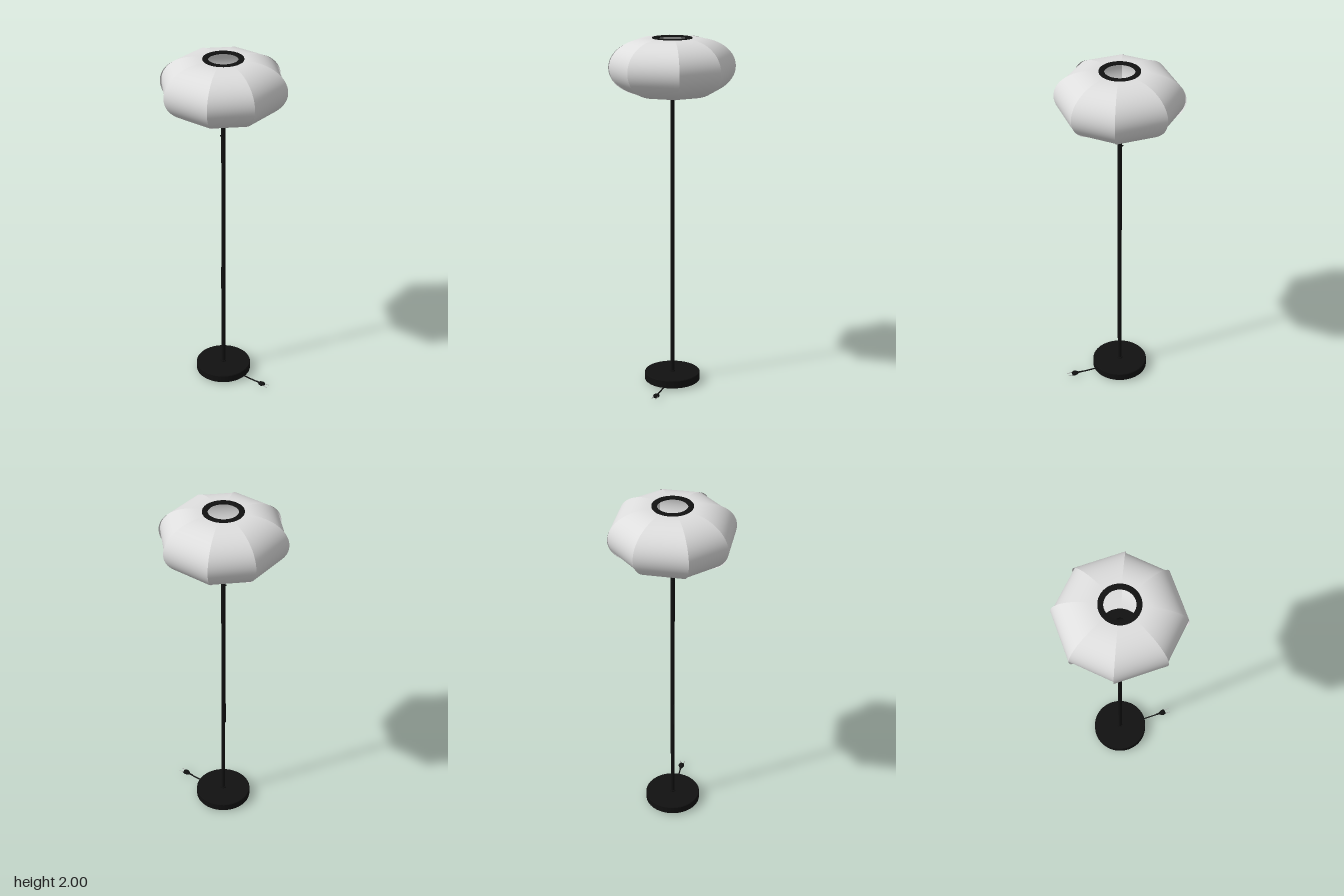
import * as THREE from 'three';

const CX = -0.006; // lamp axis; the plug sticks out on +x
const SHADE_Y = 1.838, HALF_H = 0.158, INNER = 0.1, FLAT = 0.122, OUTER = 0.321;

// One curved shade panel facing +z; slope is half-width per unit of radius
function panelGeometry(slope) {
  const profile = [[INNER, SHADE_Y + HALF_H]];
  const steps = 28;
  for (let i = 0; i <= steps; i++) {
    const a = Math.PI / 2 - (Math.PI * i) / steps;
    profile.push([FLAT + (OUTER - FLAT) * Math.cos(a), SHADE_Y + HALF_H * Math.sin(a)]);
  }
  profile.push([INNER, SHADE_Y - HALF_H]);
  const pos = [], index = [];
  profile.forEach(([r, y], i) => {
    pos.push(-slope * r, y, r, slope * r, y, r);
    if (i) {
      const a = 2 * i - 2;
      index.push(a, a + 2, a + 1, a + 1, a + 2, a + 3);
    }
  });
  const g = new THREE.BufferGeometry();
  g.setAttribute('position', new THREE.Float32BufferAttribute(pos, 3));
  g.setIndex(index);
  g.computeVertexNormals();
  return g;
}

export function createModel() {
  const model = new THREE.Group();
  model.name = 'floorLamp';
  const black = new THREE.MeshStandardMaterial({ color: 0x111111 });
  black.name = 'black';
  const fabric = new THREE.MeshStandardMaterial({ color: 0xdedede, side: THREE.DoubleSide });
  fabric.name = 'white fabric';
  const metal = new THREE.MeshStandardMaterial({ color: 0xb0b0b0 });
  metal.name = 'plug metal';

  const lamp = new THREE.Group();
  lamp.name = 'lamp';
  lamp.position.x = CX;
  model.add(lamp);

  const add = (parent, name, geometry, material, x = 0, y = 0, z = 0) => {
    const m = new THREE.Mesh(geometry, material);
    m.name = name;
    m.position.set(x, y, z);
    parent.add(m);
    return m;
  };
  const rod = (r, h, n = 32) => new THREE.CylinderGeometry(r, r, h, n);
  const lathe = (pts) => new THREE.LatheGeometry(pts.map((p) => new THREE.Vector2(...p)), 64);

  // Round weighted base with softened edges, on small feet
  add(lamp, 'base', rod(0.16, 0.04, 64), black, 0, 0.031);
  add(lamp, 'baseTop', new THREE.CylinderGeometry(0.157, 0.16, 0.004, 64), black, 0, 0.053);
  add(lamp, 'baseUnderside', new THREE.CylinderGeometry(0.16, 0.156, 0.004, 64), black, 0, 0.009);
  for (let i = 0; i < 4; i++) {
    const a = Math.PI / 4 + (i * Math.PI) / 2;
    add(lamp, 'foot', rod(0.014, 0.008, 20), black, 0.125 * Math.cos(a), 0.004, 0.125 * Math.sin(a));
  }
  add(lamp, 'baseNut', rod(0.012, 0.004, 6), metal, 0, 0.006);

  // Pole with its collar, switch and cord guide
  add(lamp, 'pole', rod(0.0115, 1.63), black, 0, 0.865);
  add(lamp, 'collar', rod(0.017, 0.008), black, 0, 0.058);
  add(lamp, 'switch', rod(0.004, 0.012, 12), black, -0.014, 1.545, 0).rotation.z = Math.PI / 2;
  add(lamp, 'cordGuide', rod(0.004, 0.14, 12), black, -0.0075, 0.64, 0.0075);

  // Eight shade panels; the four on the axes overlap their neighbours
  const wide = panelGeometry(0.453), narrow = panelGeometry(Math.tan(Math.PI / 8));
  const shade = new THREE.Group();
  shade.name = 'shade';
  lamp.add(shade);
  for (let i = 0; i < 8; i++) {
    add(shade, 'shadePanel', i % 2 ? narrow : wide, fabric).rotation.y = (i * Math.PI) / 4;
  }

  // Open ring above, closed disc below, and bulb socket
  const t = 2;
  add(lamp, 'topRing', lathe([[0.082, t - 0.008], [0.111, t - 0.008], [0.111, t], [0.082, t], [0.082, t - 0.008]]), black);
  add(lamp, 'bottomDisc', rod(0.111, 0.008, 64), black, 0, 1.679);
  add(lamp, 'socket', lathe([[0.034, 1.683], [0.034, 1.7], [0.024, 1.71], [0.024, 1.77], [0.019, 1.77], [0.019, 1.72], [0, 1.72]]), black);
  add(lamp, 'socketContact', new THREE.BoxGeometry(0.02, 0.003, 0.008), metal, 0, 1.722);

  // Power cord and plug
  const cord = new THREE.CatmullRomCurve3([
    new THREE.Vector3(0.14, 0.013, 0), new THREE.Vector3(0.19, 0.011, 0), new THREE.Vector3(0.255, 0.012, 0),
  ]);
  add(model, 'cord', new THREE.TubeGeometry(cord, 16, 0.004, 10), black);
  const body = add(model, 'plugBody', lathe([[0, 0], [0.005, 0], [0.006, 0.02], [0.014, 0.032], [0.018, 0.046], [0.014, 0.06], [0, 0.06]]), black, 0.238, 0.013, 0);
  body.rotation.z = -Math.PI / 2;
  body.scale.x = 0.65;
  for (const s of [-1, 1]) {
    add(model, 'plugProng', rod(0.002, 0.035, 10), metal, 0.3095, 0.013, s * 0.012).rotation.z = Math.PI / 2;
  }
  return model;
}
